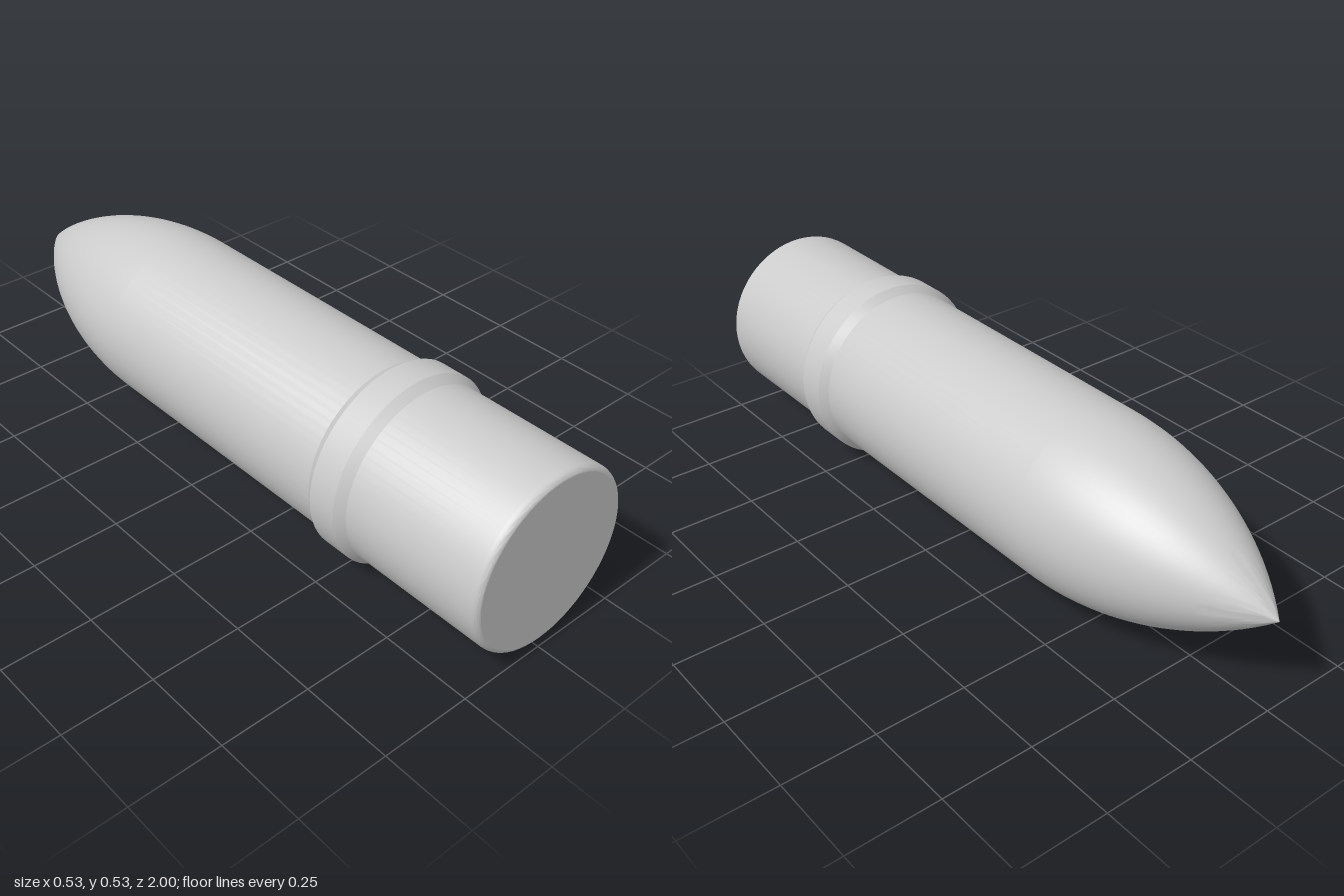
import * as THREE from 'three';
import { toCreasedNormals } from 'three/addons/utils/BufferGeometryUtils.js';

const SIDES = 64;
const BODY_R = 0.245, BAND_R = 0.263;
const NOSE_LEN = 0.64, FILLET = 0.014, FILLET_LEN = 0.02;

export function createModel() {
  const group = new THREE.Group();
  group.name = 'projectile';
  const material = new THREE.MeshStandardMaterial({ color: 0xcccccc });

  const add = (name, geometry) => {
    const mesh = new THREE.Mesh(geometry, material);
    mesh.name = name;
    mesh.position.y = BAND_R;
    group.add(mesh);
  };
  // Profile points are [radius, distance along the axis]; the tip points to -z
  const turned = (points) => {
    const lathe = new THREE.LatheGeometry(points.map(([r, h]) => new THREE.Vector2(r, h)), SIDES);
    return toCreasedNormals(lathe.rotateX(-Math.PI / 2), 0.5);
  };

  // Shell: rounded base edge, straight wall, tangent ogive nose
  const shell = [];
  for (let i = 0; i <= 5; i++) {
    const a = (i / 5) * Math.PI / 2;
    shell.push([BODY_R - FILLET * (1 - Math.sin(a)), -1 + FILLET_LEN * (1 - Math.cos(a))]);
  }
  const ogiveR = (NOSE_LEN ** 2 + BODY_R ** 2) / (2 * BODY_R);
  for (let i = 0; i <= 24; i++) {
    const d = (i / 24) * NOSE_LEN;
    const r = Math.sqrt(ogiveR ** 2 - d ** 2) - (ogiveR - BODY_R);
    shell.push([i === 24 ? 0 : r, 1 - NOSE_LEN + d]);
  }
  add('shell', turned(shell));

  // Flat base disc
  const base = new THREE.CircleGeometry(BODY_R - FILLET, SIDES);
  base.rotateZ(Math.PI / 2).translate(0, 0, 1);
  add('base', base);

  // Raised band with bevelled edges
  add('drivingBand', turned([
    [BODY_R - 0.005, -0.59], [BODY_R, -0.59], [BAND_R, -0.565],
    [BAND_R, -0.485], [BODY_R, -0.46], [BODY_R - 0.005, -0.46],
  ]));

  return group;
}
